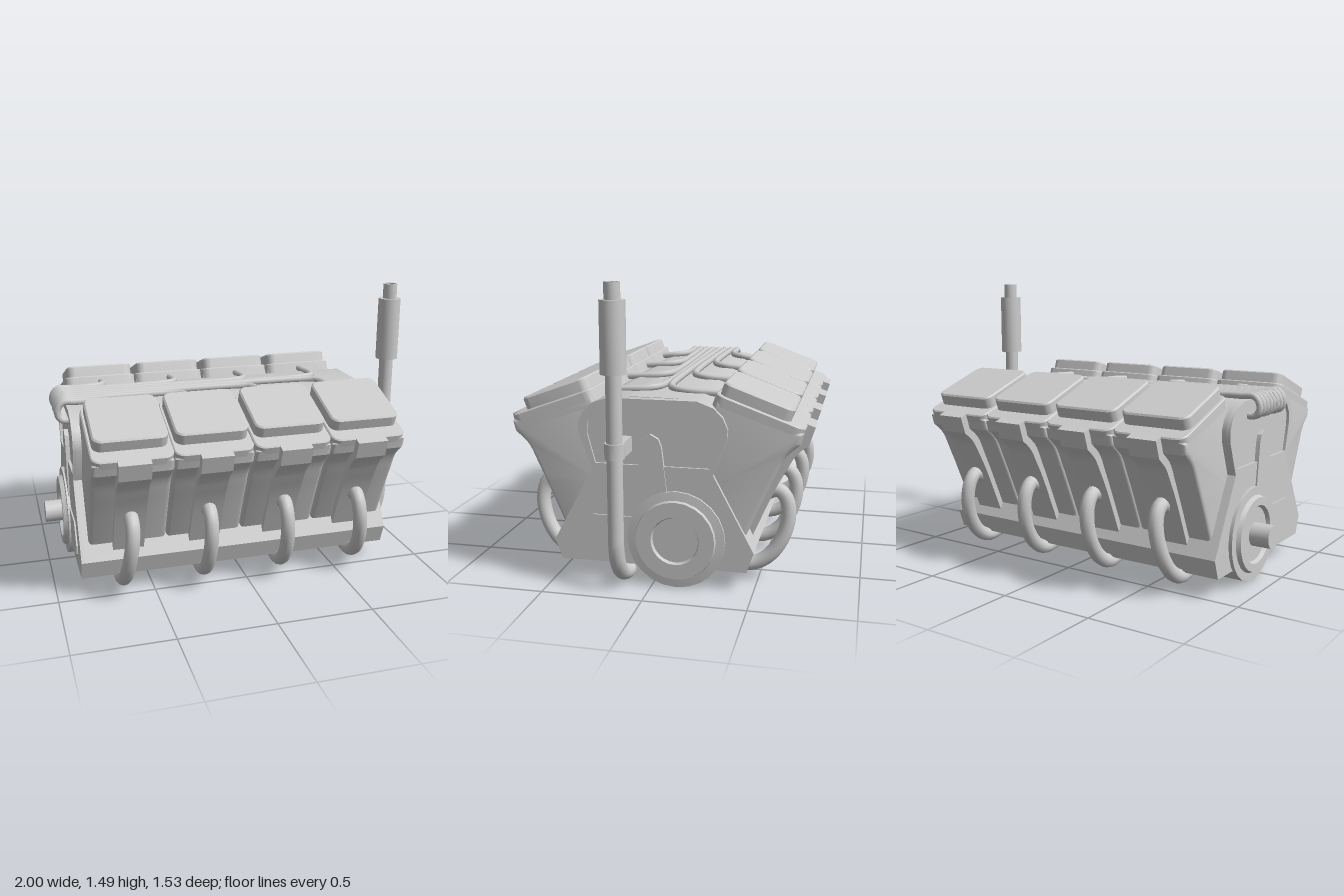
import * as THREE from 'three';
import { toCreasedNormals } from 'three/addons/utils/BufferGeometryUtils.js';

const grey = new THREE.MeshStandardMaterial({ color: 0xcccccc });
const V = (x, y, z) => new THREE.Vector3(x, y, z);

function add(parent, name, geometry, crease = 0.55) {
  const mesh = new THREE.Mesh(crease ? toCreasedNormals(geometry, crease) : geometry, grey);
  mesh.name = name;
  parent.add(mesh);
  return mesh;
}

// Outline of [z, y] points pulled along x from x0 to x1
function alongX(outline, x0, x1, bevel = 0, hole = null) {
  const toPoints = (list) => list.map(([z, y]) => new THREE.Vector2(z, y));
  const shape = new THREE.Shape(toPoints(outline));
  if (hole) shape.holes.push(new THREE.Path(toPoints(hole)));
  const geo = new THREE.ExtrudeGeometry(shape, {
    depth: x1 - x0 - 2 * bevel, bevelEnabled: bevel > 0, bevelSize: bevel,
    bevelThickness: bevel, bevelOffset: -bevel, bevelSegments: 3,
  });
  return geo.rotateY(-Math.PI / 2).translate(x1 - bevel, 0, 0);
}

// Half outline (z >= 0, bottom to top) completed by its mirror image
const mirrored = (half) => [...half, ...half.slice().reverse().map(([z, y]) => [-z, y])];

// Smooth curve through [z, y] points
const smooth = (list, n = 14) =>
  new THREE.SplineCurve(list.map(([z, y]) => new THREE.Vector2(z, y))).getPoints(n).map((p) => [p.x, p.y]);

function roundedPlate(w, h, r, depth, bevel) {
  const s = new THREE.Shape();
  const x = w / 2, y = h / 2, q = Math.PI / 2;
  s.absarc(x - r, y - r, r, 0, q);
  s.absarc(-x + r, y - r, r, q, 2 * q);
  s.absarc(-x + r, -y + r, r, 2 * q, 3 * q);
  s.absarc(x - r, -y + r, r, 3 * q, 4 * q);
  return new THREE.ExtrudeGeometry(s, {
    depth: depth - 2 * bevel, bevelEnabled: true, bevelSize: bevel, bevelThickness: bevel,
    bevelOffset: -bevel, bevelSegments: 1, curveSegments: 6,
  }).translate(0, 0, bevel);
}

// Round bar with closed ends
function pipe(parent, name, points, radius, segments = 32, sides = 12) {
  const curve = new THREE.CatmullRomCurve3(points, false, 'centripetal');
  const group = new THREE.Group();
  group.name = name;
  add(group, name + 'Tube', new THREE.TubeGeometry(curve, segments, radius, sides), 0);
  for (const t of [0, 1]) {
    const cap = add(group, name + 'End', new THREE.CircleGeometry(radius, sides), 0);
    const dir = curve.getTangent(t).multiplyScalar(t ? 1 : -1);
    cap.position.copy(curve.getPoint(t));
    cap.quaternion.setFromUnitVectors(V(0, 0, 1), dir);
  }
  parent.add(group);
}

// One cylinder head on the +z side, centred on x = 0
function cylinderHead(skew) {
  const g = new THREE.Group();
  g.name = 'cylinderHead';
  const tilt = -70 * Math.PI / 180;

  const wall = smooth([[0.45, 0.26], [0.535, 0.455], [0.595, 0.585], [0.64, 0.675], [0.705, 0.735]]);
  add(g, 'headBody', alongX([[0.25, 0.5], [0.40, 0.26], ...wall, [0.72, 0.79], [0.31, 0.93], [0.275, 0.86]], -0.2, 0.2, 0.02));

  const ridge = smooth([[0.468, 0.225], [0.575, 0.47], [0.638, 0.59], [0.68, 0.66], [0.738, 0.712]]);
  add(g, 'headRib', alongX([[0.42, 0.225], ...ridge, [0.767, 0.80], [0.6, 0.858], [0.4, 0.6]], -0.08, 0.08));

  const flange = add(g, 'headFlange', roundedPlate(0.4, 0.452, 0.05, 0.09, 0.006));
  flange.rotation.x = tilt;
  flange.position.set(0, 0.89 - 0.09 * 0.94, 0.5175 - 0.09 * 0.342);

  const cover = add(g, 'valveCover', roundedPlate(0.368, 0.357, 0.045, 0.075, 0.008));
  cover.rotation.x = tilt;
  cover.position.set(0, 0.959 - 0.075 * 0.94, 0.51 - 0.075 * 0.342);

  // Exhaust pipe leaving the rib and curling under the crankcase
  pipe(g, 'exhaustPipe', [
    V(0, 0.44, 0.53), V(0, 0.46, 0.585), V(0, 0.425, 0.625), V(skew * 0.2, 0.34, 0.643),
    V(skew * 0.6, 0.22, 0.615), V(skew * 0.9, 0.125, 0.55), V(skew, 0.078, 0.465), V(skew, 0.09, 0.355),
  ], 0.037);
  return g;
}

export function createModel() {
  const engine = new THREE.Group();
  engine.name = 'engine';

  // Engine block
  const upper = [[0.30, 0.575], [0.365, 0.75], [0.368, 0.80], [0.345, 0.855], [0.30, 0.90], [0.22, 0.93]];
  add(engine, 'block', alongX(mirrored([[0.465, 0.10], [0.50, 0.20], ...upper]), -0.86, 0.785));
  add(engine, 'lifterValley', alongX(mirrored([[0.3, 0.8], [0.29, 0.905], [0.2, 0.925], [0.1, 0.932]]), -0.8, 0.75));

  // Raised details on both end faces
  const rimOuter = mirrored(upper);
  const rimInner = mirrored([[0.283, 0.605], [0.322, 0.75], [0.32, 0.81], [0.29, 0.86], [0.23, 0.888]]);
  const skirt = mirrored([[0.465, 0.10], [0.50, 0.20], [0.30, 0.575]]);
  const rib = [[0.075, 0.40], [0.06, 0.68], [0.045, 0.735], [0.005, 0.762], [-0.035, 0.74], [-0.05, 0.70], [-0.085, 0.40]];
  const pad = [[0.08, 0.165], [0.33, 0.165], [0.36, 0.19], [0.362, 0.235], [0.30, 0.345], [0.08, 0.345]];
  for (const [name, x0, x1] of [['front', 0.78, 0.797], ['rear', -0.875, -0.855]]) {
    const out = x0 > 0 ? 0.008 : 0;
    const back = x0 > 0 ? 0 : 0.008;
    add(engine, name + 'Rim', alongX(rimOuter, x0, x1, 0, rimInner));
    add(engine, name + 'Skirt', alongX(skirt, x0, x1));
    add(engine, name + 'Rib', alongX(rib, x0 - back, x1 + out));
    add(engine, name + 'Pad', alongX(pad, x0 - back, x1 + out));
  }

  // Crankshaft housing with pulley face, rear hub and output shaft
  const turned = [
    [0, -1], [0.06, -1], [0.06, -0.895], [0.14, -0.895], [0.15, -0.915], [0.19, -0.915], [0.2, -0.893],
    [0.243, -0.893], [0.243, 0.81], [0.2, 0.815], [0.195, 0.832], [0.12, 0.832], [0.113, 0.815], [0, 0.815],
  ].map(([r, h]) => new THREE.Vector2(r, h));
  const crank = add(engine, 'crankHousing', new THREE.LatheGeometry(turned, 24).rotateZ(-Math.PI / 2));
  crank.position.set(0, 0.245, -0.12);

  // Two banks of four heads, with a spark lead to each
  const centres = [-0.63, -0.23, 0.173, 0.575];
  const skews = [-0.035, -0.008, 0.015, 0.03];
  for (const side of [1, -1]) {
    centres.forEach((x, i) => {
      const head = cylinderHead(skews[i] * side);
      head.position.x = x;
      if (side < 0) head.rotation.y = Math.PI;
      engine.add(head);

      const z = side * (0.02 + 0.04 * (3 - i)) - 0.005;
      const y = 0.947;
      pipe(engine, 'sparkLead', [
        V(-0.85, 0.85, z), V(-0.895, 0.852, z), V(-0.917, 0.875, z), V(-0.917, 0.915, z), V(-0.89, y, z),
        V(-0.82, y, z), V(x - 0.1, y, z), V(x - 0.03, y, z + side * 0.02),
        V(x, y - 0.005, z + side * 0.07), V(x, 0.93, side * 0.31),
      ], 0.018, 48, 8);
    });
  }

  // Filler tube with its neck and bracket
  const filler = new THREE.Group();
  filler.name = 'fillerTube';
  filler.position.z = 0.14;
  pipe(filler, 'fillerPipe', [
    V(0.72, 0.042, 0), V(0.77, 0.046, 0), V(0.85, 0.08, 0), V(0.91, 0.145, 0), V(0.935, 0.23, 0),
    V(0.937, 0.32, 0), V(0.937, 0.7, 0), V(0.937, 1.09, 0),
  ], 0.038, 48, 16);
  const neck = [[0, 1.07], [0.061, 1.07], [0.061, 1.41], [0.038, 1.41], [0.038, 1.49], [0.03, 1.49], [0.03, 1.45], [0, 1.45]]
    .map(([r, h]) => new THREE.Vector2(r, h));
  add(filler, 'fillerNeck', new THREE.LatheGeometry(neck, 20)).position.x = 0.937;
  add(filler, 'bracketArm', new THREE.BoxGeometry(0.14, 0.075, 0.08)).position.set(0.85, 0.708, 0);
  add(filler, 'bracketClamp', new THREE.CylinderGeometry(0.048, 0.048, 0.075, 16)).position.set(0.937, 0.708, 0);
  engine.add(filler);

  return engine;
}
